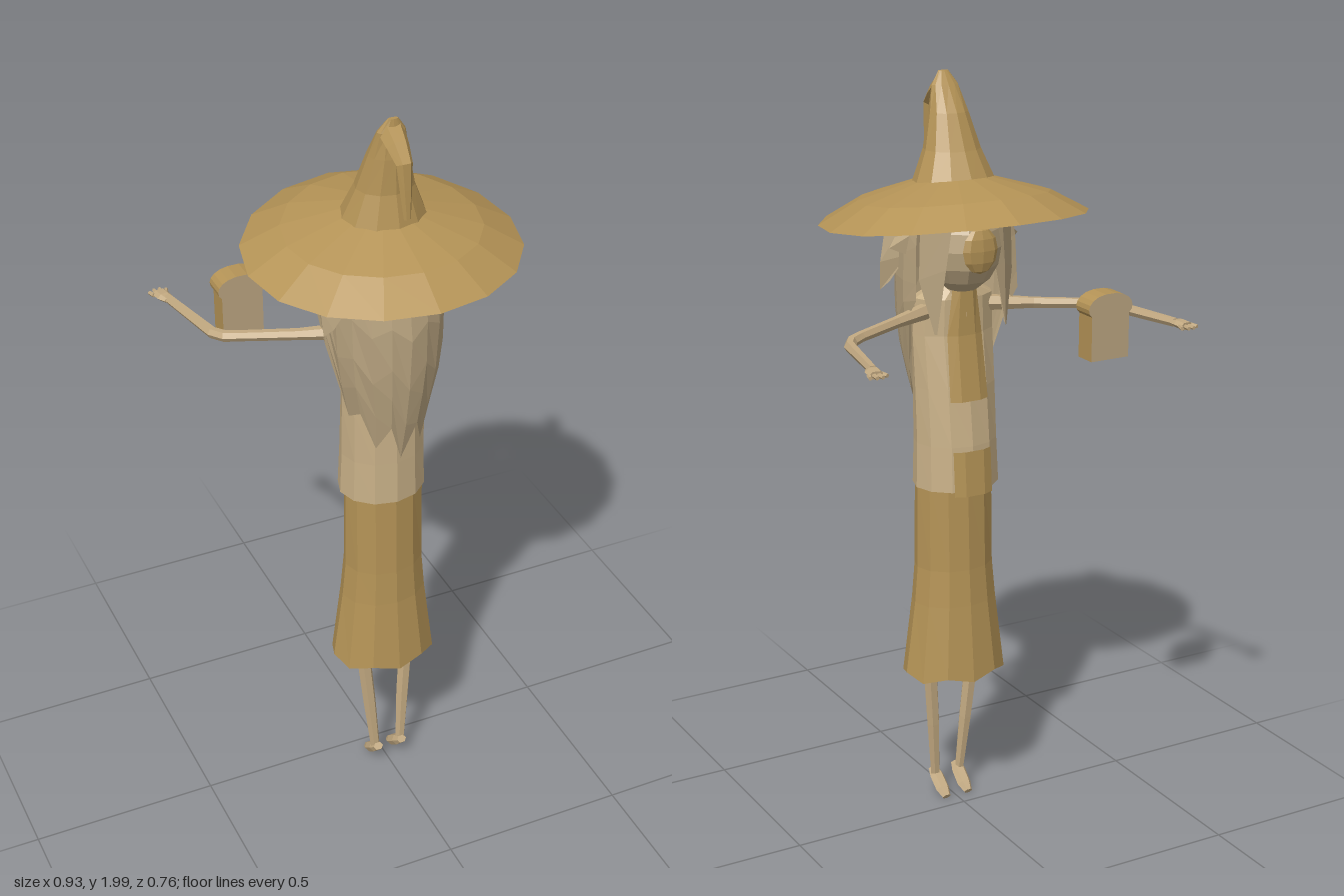
import * as THREE from 'three';

const mat = (name, color) => {
  const m = new THREE.MeshStandardMaterial({ color, flatShading: true, side: THREE.DoubleSide });
  m.name = name;
  return m;
};

export function createModel() {
  const gold = mat('straw gold', 0xb49356);
  const linen = mat('linen', 0xc8b087);
  const hairMat = mat('ash hair', 0xb9a480);
  const skin = mat('skin', 0xc2a981);
  const crumb = mat('bread crumb', 0xb9a380);
  const root = new THREE.Group();

  const add = (name, geo, material, parent = root) => {
    const m = new THREE.Mesh(geo, material);
    m.name = name;
    parent.add(m);
    return m;
  };

  // Skin a list of cross-sections; each is a list of [x, y, z].
  const loft = (rings, closed = true, caps = false) => {
    const n = rings[0].length, pos = rings.flat(2), idx = [];
    for (let r = 0; r < rings.length - 1; r++) {
      for (let i = 0; i < (closed ? n : n - 1); i++) {
        const a = r * n + i, b = r * n + (i + 1) % n;
        idx.push(a, b, b + n, a, b + n, a + n);
      }
    }
    if (caps) for (const o of [0, (rings.length - 1) * n]) {
      for (let i = 1; i < n - 1; i++) idx.push(o, o + i, o + i + 1);
    }
    const g = new THREE.BufferGeometry();
    g.setAttribute('position', new THREE.Float32BufferAttribute(pos, 3));
    g.setIndex(idx);
    const flat = g.toNonIndexed();
    flat.computeVertexNormals();
    return flat;
  };

  // Horizontal oval ring; lift(c, i) shifts each point's height, c = cosine towards +z.
  const oval = (n, y, rx, z, rz, lift = () => 0) => Array.from({ length: n }, (_, i) => {
    const a = i / n * Math.PI * 2;
    return [rx * Math.sin(a), y + lift(Math.cos(a), i), z + rz * Math.cos(a)];
  });
  // Body ring given by its half width and its z limits.
  const body = (n, y, rx, back, front, lift) => oval(n, y, rx, (back + front) / 2, (back - front) / 2, lift);

  // Limb: stations [x, y, z, radius] joined by a six-sided tube.
  const limb = (stations, flat = 1) => loft(stations.map(([x, y, z, r], k) => {
    const p = stations[Math.max(0, k - 1)], q = stations[Math.min(stations.length - 1, k + 1)];
    const d = new THREE.Vector3(q[0] - p[0], q[1] - p[1], q[2] - p[2]).normalize();
    const ref = Math.abs(d.y) > 0.7 ? new THREE.Vector3(0, 0, 1) : new THREE.Vector3(0, 1, 0);
    const u = new THREE.Vector3().crossVectors(d, ref).normalize();
    const v = new THREE.Vector3().crossVectors(u, d);
    return Array.from({ length: 6 }, (_, i) => {
      const a = i / 6 * Math.PI * 2, c = Math.cos(a) * r, s = Math.sin(a) * r * flat;
      return [x + u.x * c + v.x * s, y + u.y * c + v.y * s, z + u.z * c + v.z * s];
    });
  }), true, true);

  // Hat: drooping brim, cone and folded tip
  const hat = new THREE.Group();
  hat.name = 'hat';
  root.add(hat);
  const brim = [[0.1, 1.735], [0.25, 1.69], [0.35, 1.633]].map(([r, y]) =>
    oval(16, y, r, 0.05, r * 0.93, c => r / 0.35 * (-0.0285 * c + 0.0155 * c * c)));
  add('hatBrim', loft(brim), gold, hat);
  add('hatCone', loft([
    oval(12, 1.725, 0.11, 0.05, 0.1),
    oval(12, 1.81, 0.075, 0.062, 0.067),
    oval(12, 1.9, 0.052, 0.08, 0.045),
    oval(12, 1.965, 0.037, 0.098, 0.02),
    oval(12, 1.998, 0.014, 0.106, 0.006),
  ], true, true), gold, hat);
  add('hatTip', limb([[0, 1.965, 0.095, 0.035], [0, 1.94, 0.135, 0.029], [0, 1.91, 0.172, 0.021],
    [0, 1.85, 0.18, 0.016], [0, 1.775, 0.19, 0.009]], 0.8), gold, hat);

  // Head with a darker face
  const head = add('head', new THREE.SphereGeometry(0.1, 10, 8), hairMat);
  head.scale.set(1, 1.2, 1);
  head.position.set(0, 1.57, 0.01);
  const face = add('face', new THREE.SphereGeometry(0.05, 8, 6), gold);
  face.scale.set(1, 1.2, 0.35);
  face.position.set(0, 1.575, -0.083);
  add('neck', new THREE.CylinderGeometry(0.05, 0.055, 0.12, 8), skin).position.set(0, 1.45, 0.04);

  // Long hair: an open shell with a ragged hem
  const hem = [1.08, 1.19, 1.115, 1.22, 1.19, 1.38, 1.45];
  const profile = [[1.66, 0.14, 0.19], [1.6, 0.15, 0.205], [1.45, 0.155, 0.227],
    [1.32, 0.143, 0.215], [1.2, 0.115, 0.195], [1.08, 0.1, 0.165]];
  const sample = (y, k) => {
    let i = 0;
    while (i < profile.length - 2 && y < profile[i + 1][0]) i++;
    const [a, b] = [profile[i], profile[i + 1]];
    return THREE.MathUtils.lerp(a[k], b[k], (a[0] - y) / (a[0] - b[0]));
  };
  const hairRows = [0, 0.14, 0.35, 0.6, 0.8, 1].map(f =>
    Array.from({ length: 13 }, (_, i) => {
      const t = (i - 6) * Math.PI / 10;
      const y = 1.66 + (hem[Math.abs(i - 6)] - 1.66) * f;
      return [sample(y, 1) * Math.sin(t), y, 0.04 + (sample(y, 2) - 0.04) * Math.cos(t)];
    }));
  add('longHair', loft(hairRows, false), hairMat);

  // Loose locks beside the head
  for (const s of [-1, 1]) {
    add('sideLock', loft([
      [[s * 0.12, 1.66, 0.06], [s * 0.165, 1.66, 0.1], [s * 0.13, 1.66, 0.15]],
      [[s * 0.13, 1.55, 0.06], [s * 0.187, 1.53, 0.1], [s * 0.14, 1.54, 0.15]],
      [[s * 0.165, 1.48, 0.09], [s * 0.183, 1.455, 0.11], [s * 0.165, 1.48, 0.13]],
    ]), hairMat);
    add('sideLock', loft([
      [[s * 0.12, 1.66, 0], [s * 0.155, 1.62, 0.06], [s * 0.12, 1.66, 0.1]],
      [[s * 0.13, 1.62, 0.01], [s * 0.165, 1.6, 0.06], [s * 0.13, 1.62, 0.09]],
      [[s * 0.15, 1.56, 0.03], [s * 0.187, 1.575, 0.05], [s * 0.15, 1.56, 0.06]],
    ]), hairMat);
    add('frontLock', loft([
      [[s * 0.07, 1.66, -0.07], [s * 0.13, 1.66, -0.01], [s * 0.1, 1.66, 0.03]],
      [[s * 0.085, 1.53, -0.06], [s * 0.135, 1.5, -0.01], [s * 0.11, 1.5, 0.03]],
      [[s * 0.1, 1.36, -0.04], [s * 0.105, 1.36, -0.035], [s * 0.1, 1.37, -0.03]],
    ]), hairMat);
  }

  // Shirt, flaring forwards at the hem
  add('shirt', loft([
    body(12, 1.47, 0.05, 0.1, 0.0),
    body(12, 1.435, 0.11, 0.125, -0.008),
    body(12, 1.34, 0.115, 0.135, -0.008),
    body(12, 1.2, 0.113, 0.14, -0.03),
    body(12, 1.05, 0.112, 0.145, -0.048),
    body(12, 0.93, 0.116, 0.148, -0.056),
  ]), linen);

  // Gold dress showing down the open shirt front, above and below the tie
  const panel = rows => loft(rows.map(([y, w, z]) =>
    [[-w, y, z + 0.012], [-w * 0.5, y, z], [w * 0.5, y, z], [w, y, z + 0.012]]), false);
  add('dressFrontUpper', panel([[1.46, 0.035, -0.014], [1.34, 0.05, -0.015], [1.17, 0.055, -0.039]]), gold);
  add('dressFrontLower', panel([[1.04, 0.055, -0.055], [0.92, 0.055, -0.063]]), gold);

  // Skirt with a slightly uneven hem
  add('skirt', loft([
    body(12, 0.95, 0.107, 0.14, -0.022),
    body(12, 0.7, 0.108, 0.147, -0.03),
    body(12, 0.6, 0.117, 0.152, -0.037),
    body(12, 0.39, 0.144, 0.172, -0.056, (c, i) => (i % 2 ? 0.012 : -0.004)),
  ]), gold);

  // Arms, hands, legs and feet
  for (const s of [-1, 1]) {
    const side = s > 0 ? 'left' : 'right';
    const path = pts => pts.map(([x, ...rest]) => [s * x, ...rest]);
    add(side + 'Arm', limb(path([[0.09, 1.405, 0.035, 0.022], [0.2, 1.4, -0.01, 0.015],
      [0.33, 1.395, -0.07, 0.014], [0.365, 1.392, -0.09, 0.015], [0.385, 1.39, -0.12, 0.015],
      [0.428, 1.39, -0.325, 0.012]])), skin);
    const hand = new THREE.Group();
    hand.name = side + 'Hand';
    root.add(hand);
    add('palm', limb(path([[0.428, 1.39, -0.315, 0.014], [0.433, 1.39, -0.335, 0.02],
      [0.437, 1.388, -0.362, 0.02]]), 0.55), skin, hand);
    for (let i = 0; i < 4; i++) {
      const x = 0.421 + i * 0.011, reach = [-0.374, -0.382, -0.382, -0.374][i];
      add('finger', limb(path([[x, 1.388, -0.355, 0.006], [x + (i - 1.5) * 0.004, 1.387, reach, 0.005]])), skin, hand);
    }
    add(side + 'Leg', limb(path([[0.066, 0.5, 0.07, 0.021], [0.065, 0.4, 0.072, 0.02],
      [0.05, 0.22, 0.083, 0.018], [0.038, 0.06, 0.095, 0.013]])), skin);
    add(side + 'Foot', limb(path([[0.036, 0.068, 0.112, 0.014], [0.035, 0.052, 0.092, 0.02],
      [0.034, 0.025, 0.06, 0.02], [0.034, 0.01, 0.037, 0.012]]), 0.8), skin);
  }

  // Slice of bread with a crust
  const slice = new THREE.Shape();
  slice.moveTo(-0.055, 0);
  slice.lineTo(0.055, 0);
  slice.lineTo(0.055, 0.115);
  slice.bezierCurveTo(0.075, 0.13, 0.065, 0.165, 0.015, 0.17);
  slice.lineTo(-0.015, 0.17);
  slice.bezierCurveTo(-0.065, 0.165, -0.075, 0.13, -0.055, 0.115);
  const bread = new THREE.ExtrudeGeometry(slice, { depth: 0.06, bevelEnabled: false, curveSegments: 6 });
  add('bread', bread, [crumb, gold]).position.set(-0.266, 1.304, -0.275);

  return root;
}
